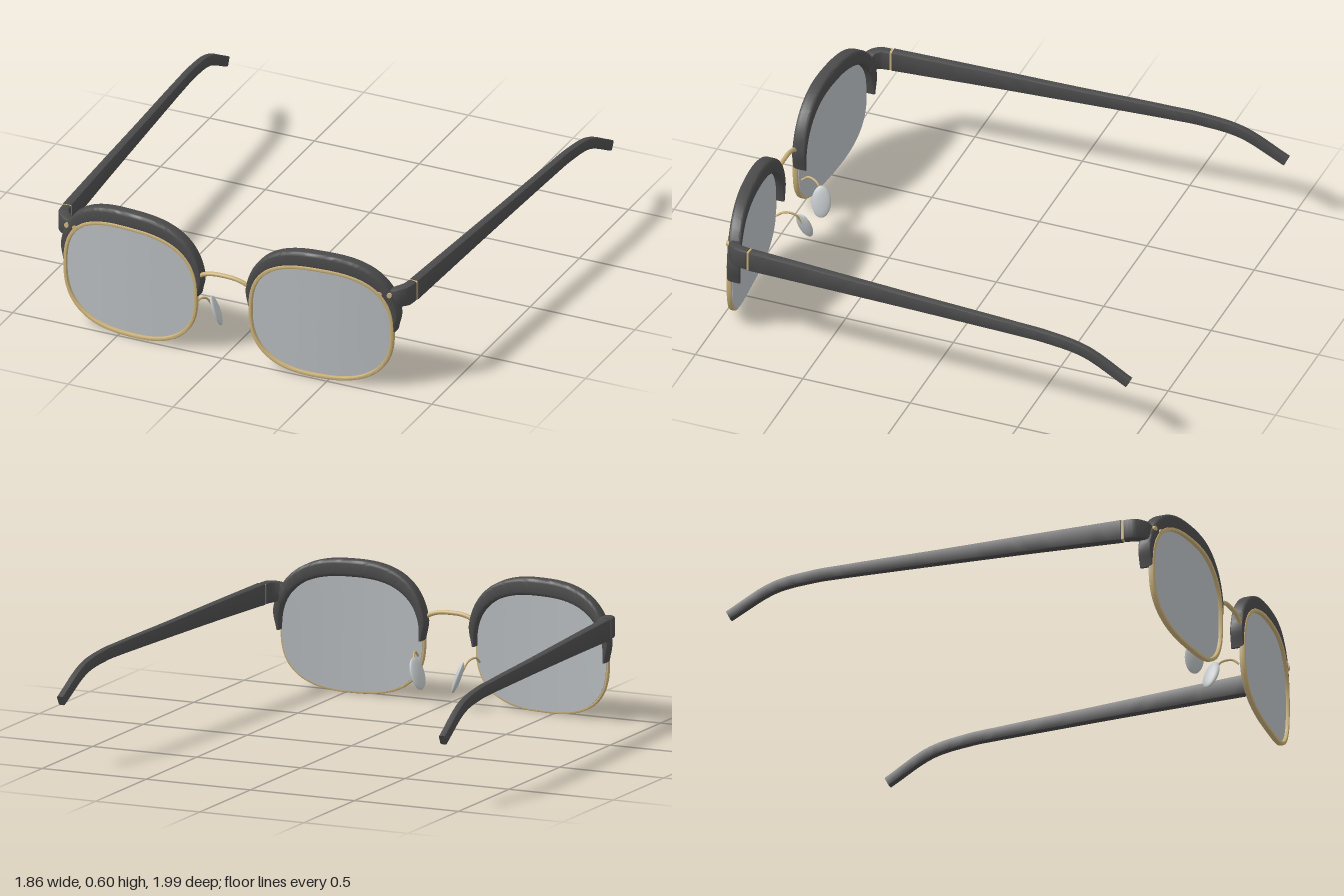
import * as THREE from 'three';
import { toCreasedNormals } from 'three/addons/utils/BufferGeometryUtils.js';

const material = (name, color) => {
  const m = new THREE.MeshStandardMaterial({ color });
  m.name = name;
  return m;
};

// Join a row of equal-length point rings into a solid (closed = the row loops back)
function loft(rings, closed = false, crease = 0.6) {
  const n = rings[0].length, count = rings.length;
  const points = rings.flat(), index = [];
  for (let i = 0; i < (closed ? count : count - 1); i++) {
    const a = i * n, b = ((i + 1) % count) * n;
    for (let j = 0; j < n; j++) {
      const k = (j + 1) % n;
      index.push(a + j, b + j, b + k, a + j, b + k, a + k);
    }
  }
  if (!closed) {
    const last = (count - 1) * n;
    for (let j = 1; j < n - 1; j++) {
      index.push(0, j, j + 1, last, last + j + 1, last + j);
    }
  }
  // Turn the faces outward if the enclosed volume is negative
  let volume = 0;
  const cross = new THREE.Vector3();
  for (let i = 0; i < index.length; i += 3) {
    volume += points[index[i]].dot(cross.crossVectors(points[index[i + 1]], points[index[i + 2]]));
  }
  if (volume < 0) index.reverse();
  const geometry = new THREE.BufferGeometry().setFromPoints(points);
  geometry.setIndex(index);
  return toCreasedNormals(geometry, crease);
}

// Rounded rectangle as [u, v] pairs about its centre
function roundedRect(w, h, r, steps = 3) {
  const out = [];
  [[1, 1], [-1, 1], [-1, -1], [1, -1]].forEach(([sx, sy], q) => {
    for (let i = 0; i <= steps; i++) {
      const t = (q + i / steps) * Math.PI / 2;
      out.push([sx * (w / 2 - r) + r * Math.cos(t), sy * (h / 2 - r) + r * Math.sin(t)]);
    }
  });
  return out;
}

// Lens outline (soft squarish oval) and the wrap of the front in depth
const CX = 0.455, CY = 0.27, A = 0.319, B = 0.252;
const wrap = (x) => 0.995 - 0.2 * Math.max(0, x - 0.25) ** 2;
function outline(t, a, b) {
  const c = Math.cos(t), s = Math.sin(t), p = 2 / 2.6;
  return [CX + a * Math.sign(c) * Math.abs(c) ** p, CY + b * Math.sign(s) * Math.abs(s) ** p];
}
const onFront = (x, y, dz) => new THREE.Vector3(x, y, wrap(x) + dz);

function lensGeometry() {
  const layers = [[0.01, -0.012], [0.35, -0.012], [0.7, -0.012], [1.015, -0.012],
    [1.015, -0.024], [0.7, -0.024], [0.35, -0.024], [0.01, -0.024]];
  return loft(layers.map(([k, dz]) => Array.from({ length: 72 }, (_, i) => {
    const [x, y] = outline(i / 72 * Math.PI * 2, A * k, B * k);
    return onFront(x, y, dz);
  })));
}

function rimGeometry() {
  const section = roundedRect(0.016, 0.024, 0.005, 2);
  return loft(Array.from({ length: 96 }, (_, i) => section.map(([u, v]) => {
    const [x, y] = outline(i / 96 * Math.PI * 2, A + 0.006 + u, B + 0.006 + u);
    return onFront(x, y, v - 0.008);
  })), true);
}

// Brow: thick at the top, narrowing to the two lower ends
function browGeometry() {
  const rings = [], steps = 72;
  for (let i = 0; i <= steps; i++) {
    const t = i / steps * Math.PI;
    const full = THREE.MathUtils.smoothstep(Math.min(t, Math.PI - t), -0.08, 0.2);
    const inner = outline(t, A + 0.003, B + 0.003);
    const outer = outline(t, A + 0.008 + 0.028 * full, B + 0.008 + 0.07 * full);
    rings.push(roundedRect(1, 1, 0.22).map(([u, v]) => onFront(
      THREE.MathUtils.lerp(inner[0], outer[0], u + 0.5),
      THREE.MathUtils.lerp(inner[1], outer[1], u + 0.5),
      v * 0.06 - 0.03)));
  }
  return loft(rings);
}

// Bar through stations [x, y, z, width, height]; the section stays square to the path
function barGeometry(stations, segments, radius) {
  const curve = new THREE.CatmullRomCurve3(stations.map((s) => new THREE.Vector3(s[0], s[1], s[2])));
  const up = new THREE.Vector3(0, 1, 0), rings = [];
  for (let i = 0; i <= segments; i++) {
    const t = i / segments, p = curve.getPoint(t), dir = curve.getTangent(t);
    const f = t * (stations.length - 1), k = Math.min(Math.floor(f), stations.length - 2);
    const w = THREE.MathUtils.lerp(stations[k][3], stations[k + 1][3], f - k);
    const h = THREE.MathUtils.lerp(stations[k][4], stations[k + 1][4], f - k);
    const side = new THREE.Vector3().crossVectors(dir, up).normalize();
    const top = new THREE.Vector3().crossVectors(side, dir);
    rings.push(roundedRect(w, h, radius, 2).map(([u, v]) =>
      p.clone().addScaledVector(side, u).addScaledVector(top, v)));
  }
  return loft(rings);
}

const tube = (points, radius) => new THREE.TubeGeometry(
  new THREE.CatmullRomCurve3(points.map((p) => new THREE.Vector3(...p))), 28, radius, 10);

export function createModel() {
  const dark = material('dark frame', 0x4b4b4b);
  const gold = material('gold metal', 0xc9b079);
  const glass = material('grey lens', 0xb6bbbe);
  const clear = material('clear pad', 0xc2c7c9);
  const model = new THREE.Group();
  model.name = 'eyeglasses';

  const add = (parent, name, geometry, mat) => {
    const mesh = new THREE.Mesh(geometry, mat);
    mesh.name = name;
    parent.add(mesh);
    return mesh;
  };

  for (const side of [1, -1]) {
    const half = new THREE.Group();
    half.name = side > 0 ? 'leftHalf' : 'rightHalf';
    half.scale.x = side;
    model.add(half);

    add(half, 'lens', lensGeometry(), glass);
    add(half, 'rim', rimGeometry(), gold);
    add(half, 'brow', browGeometry(), dark);

    // Corner piece, hinge plate and temple arm
    add(half, 'endPiece', barGeometry([
      [0.755, 0.435, 0.907, 0.045, 0.07], [0.79, 0.437, 0.9, 0.05, 0.085],
      [0.818, 0.438, 0.87, 0.046, 0.095], [0.826, 0.438, 0.824, 0.042, 0.095]], 18, 0.01), dark);
    add(half, 'hinge', new THREE.BoxGeometry(0.036, 0.088, 0.014).translate(0.827, 0.438, 0.818), gold);
    add(half, 'temple', barGeometry([
      [0.828, 0.438, 0.812, 0.042, 0.095], [0.85, 0.44, 0.4, 0.038, 0.08],
      [0.87, 0.44, 0, 0.036, 0.066], [0.893, 0.44, -0.45, 0.033, 0.055],
      [0.9, 0.437, -0.6, 0.032, 0.053], [0.908, 0.411, -0.78, 0.031, 0.05],
      [0.917, 0.308, -0.985, 0.03, 0.046]], 48, 0.006), dark);

    // Two rivets on the front of the brow
    for (const x of [0.727, 0.77]) {
      const rivet = add(half, 'rivet', new THREE.CylinderGeometry(0.011, 0.011, 0.012, 16), gold);
      rivet.position.copy(onFront(x, 0.455, 0));
      rivet.rotation.set(Math.PI / 2, 0, -0.2);
    }

    // Nose pad on its curved wire
    add(half, 'padArm', tube([[0.148, 0.2, 0.965], [0.145, 0.225, 0.93],
      [0.13, 0.215, 0.885], [0.11, 0.16, 0.855]], 0.005), gold);
    const pad = add(half, 'nosePad', new THREE.SphereGeometry(1, 24, 16), clear);
    pad.scale.set(0.014, 0.072, 0.042);
    pad.position.set(0.097, 0.147, 0.853);
    pad.rotation.set(0, -0.3, -0.34);
  }

  add(model, 'bridge', tube([[-0.125, 0.365, 0.98], [-0.1, 0.383, 0.983], [-0.055, 0.397, 0.985],
    [0, 0.4, 0.985], [0.055, 0.397, 0.985], [0.1, 0.383, 0.983], [0.125, 0.365, 0.98]], 0.01), gold);
  return model;
}
